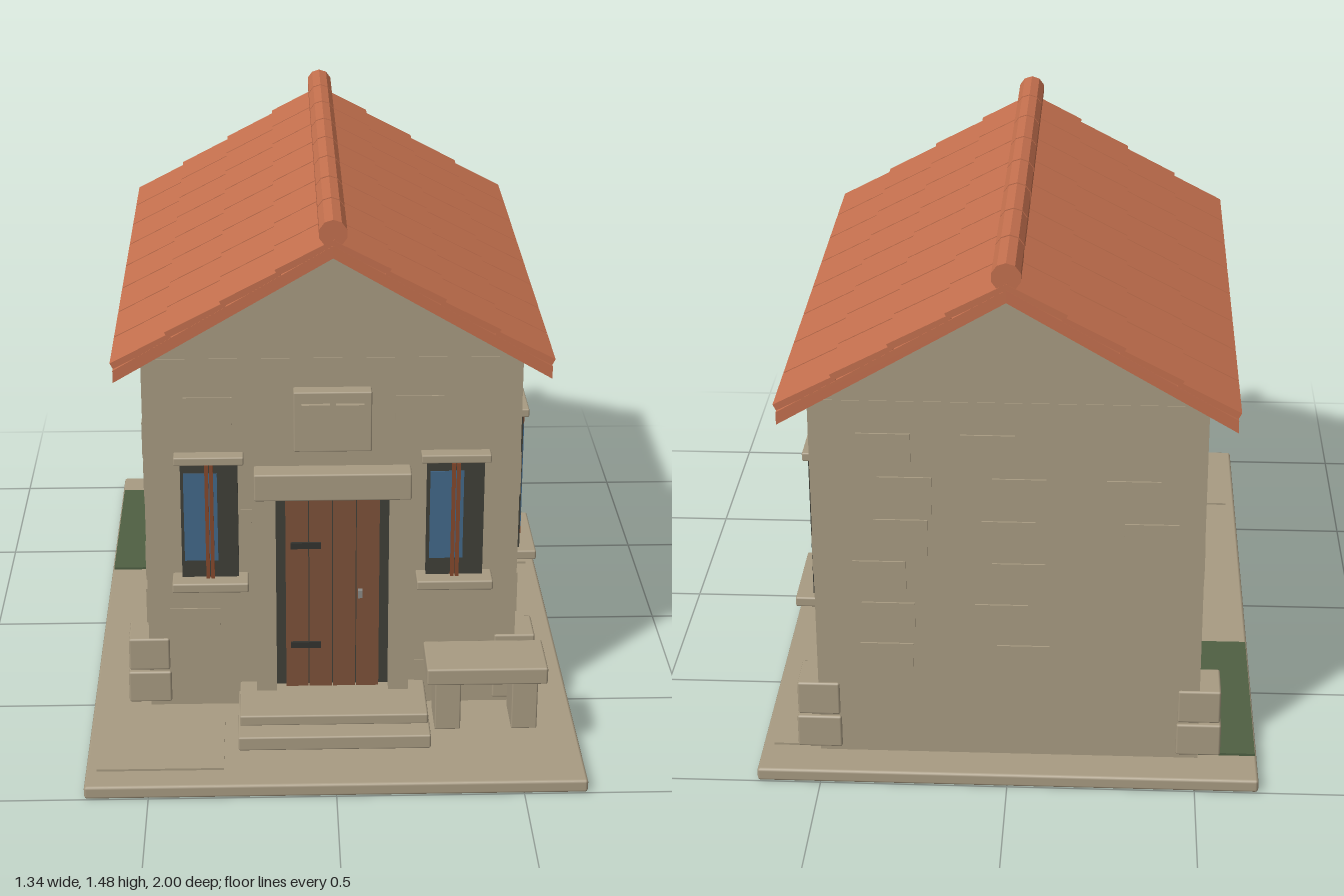
import * as THREE from 'three';
import { RoundedBoxGeometry } from 'three/addons/geometries/RoundedBoxGeometry.js';

const mat = (name, color) => {
  const m = new THREE.MeshStandardMaterial({ color });
  m.name = name;
  return m;
};

export function createModel() {
  const stone = mat('stone', 0xa89b82);
  const tile = mat('clayTile', 0xc4704e);
  const wood = mat('doorWood', 0x7d5239);
  const frameWood = mat('windowWood', 0x85492c);
  const dark = mat('darkRecess', 0x3f3f38);
  const glass = mat('glass', 0x42688a);
  const iron = mat('iron', 0x33332f);
  const metal = mat('handleMetal', 0x8a8a86);
  const moss = mat('moss', 0x4f6043);

  const model = new THREE.Group();
  model.name = 'stoneCottage';

  const add = (parent, name, geo, material) => {
    const m = new THREE.Mesh(geo, material);
    m.name = name;
    parent.add(m);
    return m;
  };
  // box given by its limits; r > 0 softens the edges
  const box = (parent, name, material, x0, x1, y0, y1, z0, z1, r = 0) => {
    const [w, h, d] = [x1 - x0, y1 - y0, z1 - z0];
    const geo = r ? new RoundedBoxGeometry(w, h, d, 1, r) : new THREE.BoxGeometry(w, h, d);
    const m = add(parent, name, geo, material);
    m.position.set((x0 + x1) / 2, (y0 + y1) / 2, (z0 + z1) / 2);
    return m;
  };
  const extrude = (points, depth) => new THREE.ExtrudeGeometry(
    new THREE.Shape(points.map(p => new THREE.Vector2(...p))), { depth, bevelEnabled: false });

  const FRONT = 0.565, BACK = -0.895, SIDE = 0.51;

  // ground slab with thin paving
  box(model, 'groundSlab', stone, -0.67, 0.67, 0, 0.037, -1, 1, 0.008);
  box(model, 'pavingLeft', stone, -0.64, -0.3, 0.035, 0.043, 0.6, 0.92);
  box(model, 'pavingRight', stone, 0.5, 0.64, 0.035, 0.043, -0.88, -0.3);
  box(model, 'mossPatch', moss, -0.665, -0.5, 0.037, 0.044, -0.88, -0.29);

  // walls and gables
  box(model, 'walls', stone, -SIDE, SIDE, 0.035, 1.08, BACK, FRONT);
  const gable = add(model, 'gables', extrude([[-SIDE, 1.08], [SIDE, 1.08], [0, 1.385]], FRONT - BACK - 0.004), stone);
  gable.position.z = BACK + 0.002;

  // corner stones
  for (const sx of [-1, 1]) for (const z of [0.51, -0.84]) {
    [[0.05, 0.145, 0], [0.15, 0.247, 0.003]].forEach(([y0, y1, d]) => {
      box(model, 'cornerStone', stone, sx * 0.51 - 0.06 + d, sx * 0.51 + 0.06 - d, y0, y1,
        z - 0.064 + d, z + 0.064 - d, 0.006);
    });
  }

  // raised wall blocks: [start, end, bottom, top] along each wall
  const T = 0.007;
  const sideBlocks = [[0.23, 0.37, 0.88, 0.99], [-0.13, 0.02, 0.88, 0.99], [-0.3, -0.15, 0.88, 0.99],
    [-0.48, -0.33, 0.88, 0.99], [-0.65, -0.5, 0.88, 0.99], [0.04, 0.2, 0.06, 0.13], [-0.1, 0.03, 0.06, 0.17],
    [-0.42, -0.28, 0.06, 0.18], [-0.4, -0.32, 0.4, 0.54], [-0.4, -0.32, 0.56, 0.69], [-0.4, -0.32, 0.71, 0.84],
    [-0.78, -0.65, 0.23, 0.34], [0.05, 0.14, 0.55, 0.68], [0.43, 0.53, 0.3, 0.42], [0.43, 0.53, 0.66, 0.78],
    [-0.86, -0.76, 0.56, 0.68]];
  for (const [a, b, y0, y1] of sideBlocks) box(model, 'wallBlock', stone, SIDE - 0.01, SIDE + T, y0, y1, a, b);
  const frontBlocks = [[-0.45, -0.31, 0.23, 0.34], [-0.25, -0.22, 0.55, 0.64], [0.23, 0.36, 0.07, 0.17],
    [0.17, 0.3, 0.88, 0.97], [-0.4, -0.27, 0.88, 0.97]];
  for (const [a, b, y0, y1] of frontBlocks) box(model, 'wallBlock', stone, a, b, y0, y1, FRONT - 0.01, FRONT + 0.004);
  // seeded scatter on the windowless walls
  let seed = 7;
  const rnd = () => (seed = (seed * 16807) % 2147483647) / 2147483647;
  for (let row = 0; row < 6; row++) {
    const y0 = 0.27 + row * 0.123, h = 0.105;
    for (let i = 0; i < 3; i++) {
      const x = -0.38 + i * 0.3 + rnd() * 0.14;
      if (rnd() < 0.6) box(model, 'wallBlock', stone, x - 0.07, x + 0.07, y0, y0 + h, BACK - 0.005, BACK + 0.01);
    }
    for (let i = 0; i < 4; i++) {
      const z = -0.72 + i * 0.35 + rnd() * 0.14;
      if (rnd() < 0.65) box(model, 'wallBlock', stone, -SIDE - T, -SIDE + 0.01, y0, y0 + h, z - 0.07, z + 0.07);
    }
  }

  // windows, built facing +z with the opening's bottom centre at the origin
  const addWindow = (name, w, h, x, y, z, turn) => {
    const g = new THREE.Group();
    g.name = name;
    const l = -w / 2;
    box(g, 'windowRecess', dark, l, -l, 0, h, -0.01, 0.026);
    box(g, 'pane', glass, l + 0.008, l + w * 0.64, h * 0.15, h * 0.92, 0.024, 0.029);
    for (const s of [-1, 1]) box(g, 'windowBar', frameWood, s * 0.0065 - 0.005, s * 0.0065 + 0.005, 0, h, 0.02, 0.039);
    box(g, 'windowSill', stone, l - 0.027, -l + 0.027, -0.028, 0, -0.01, 0.072, 0.005);
    box(g, 'windowLintel', stone, l - 0.017, -l + 0.017, h, h + 0.024, -0.01, 0.04, 0.004);
    g.position.set(x, y, z);
    g.rotation.y = turn;
    model.add(g);
  };
  for (const s of [-1, 1]) addWindow('frontWindow', 0.155, 0.337, s * 0.334, 0.45, FRONT, 0);
  for (const z of [0.283, -0.177, -0.633]) addWindow('sideWindow', 0.206, 0.405, SIDE, 0.43, z, Math.PI / 2);

  // doorway
  box(model, 'doorRecess', dark, -0.156, 0.156, 0.1, 0.69, FRONT - 0.02, FRONT + 0.012);
  for (const s of [-1, 1]) box(model, 'doorJamb', stone, s * 0.183 - 0.028, s * 0.183 + 0.028, 0.04, 0.69, FRONT - 0.02, 0.617);
  box(model, 'doorLintel', stone, -0.213, 0.213, 0.69, 0.768, FRONT - 0.02, 0.627, 0.005);
  for (let i = 0; i < 4; i++) {
    const x = -0.13 + i * 0.065;
    box(model, 'doorPlank', wood, x + 0.0015, x + 0.0635, 0.105, 0.69, FRONT, 0.592);
  }
  for (const y of [0.238, 0.543]) box(model, 'doorHinge', iron, -0.115, -0.032, y - 0.009, y + 0.009, 0.59, 0.599);
  box(model, 'doorHandle', metal, 0.07, 0.082, 0.385, 0.408, 0.59, 0.605);

  // plaque over the door
  box(model, 'plaque', stone, -0.105, 0.105, 0.825, 0.997, FRONT - 0.01, 0.605, 0.004);
  for (const s of [-1, 1]) box(model, 'plaquePanel', stone, s * 0.046 - 0.038, s * 0.046 + 0.038, 0.865, 0.965, 0.6, 0.618);

  // entrance steps
  box(model, 'lowerStep', stone, -0.262, 0.262, 0.036, 0.077, 0.55, 0.823, 0.005);
  box(model, 'upperStep', stone, -0.258, 0.258, 0.075, 0.106, 0.55, 0.758, 0.005);

  // bench
  box(model, 'benchSeat', stone, 0.247, 0.573, 0.237, 0.286, 0.67, 0.836, 0.006);
  for (const x of [0.306, 0.514]) box(model, 'benchLeg', stone, x - 0.035, x + 0.035, 0.092, 0.24, 0.69, 0.818, 0.004);

  // roof: two mirrored slopes of overlapping tiles
  const Z0 = -0.96, Z1 = 0.627, ZC = (Z0 + Z1) / 2, N = 8, ROWS = 4;
  const pitch = Math.atan2(0.34, 0.58), step = (Z1 - Z0) / N;
  const run = 0.672 / ROWS;
  const tileGeo = new THREE.BoxGeometry(run + 0.008, 0.018, step - 0.006);
  for (const turn of [0, Math.PI]) {
    const half = new THREE.Group();
    half.name = 'roofSlope';
    half.position.set(0, 0, ZC);
    half.rotation.y = turn;
    model.add(half);
    const deck = add(half, 'roofDeck', extrude([[0, 1.378], [0.58, 1.038], [0.58, 1.072], [0, 1.412]], Z1 - Z0 - 0.004), tile);
    deck.position.z = -(Z1 - Z0) / 2 + 0.002;
    const slope = new THREE.Group();
    slope.name = 'tileRows';
    slope.position.y = 1.412;
    slope.rotation.z = -pitch;
    half.add(slope);
    for (let r = 0; r < ROWS; r++) for (let i = 0; i < N; i++) {
      const t = add(slope, 'roofTile', tileGeo, tile);
      t.position.set((r + 0.5) * run - 0.008, 0.008, (i + 0.5 - N / 2) * step);
      t.rotation.z = 0.05;
    }
  }
  // ridge caps
  const capGeo = new THREE.CylinderGeometry(0.038, 0.038, step - 0.008, 10).rotateX(Math.PI / 2).toNonIndexed();
  capGeo.computeVertexNormals();
  for (let i = 0; i < N; i++) add(model, 'ridgeCap', capGeo, tile).position.set(0, 1.444, Z0 + (i + 0.5) * step);

  return model;
}
